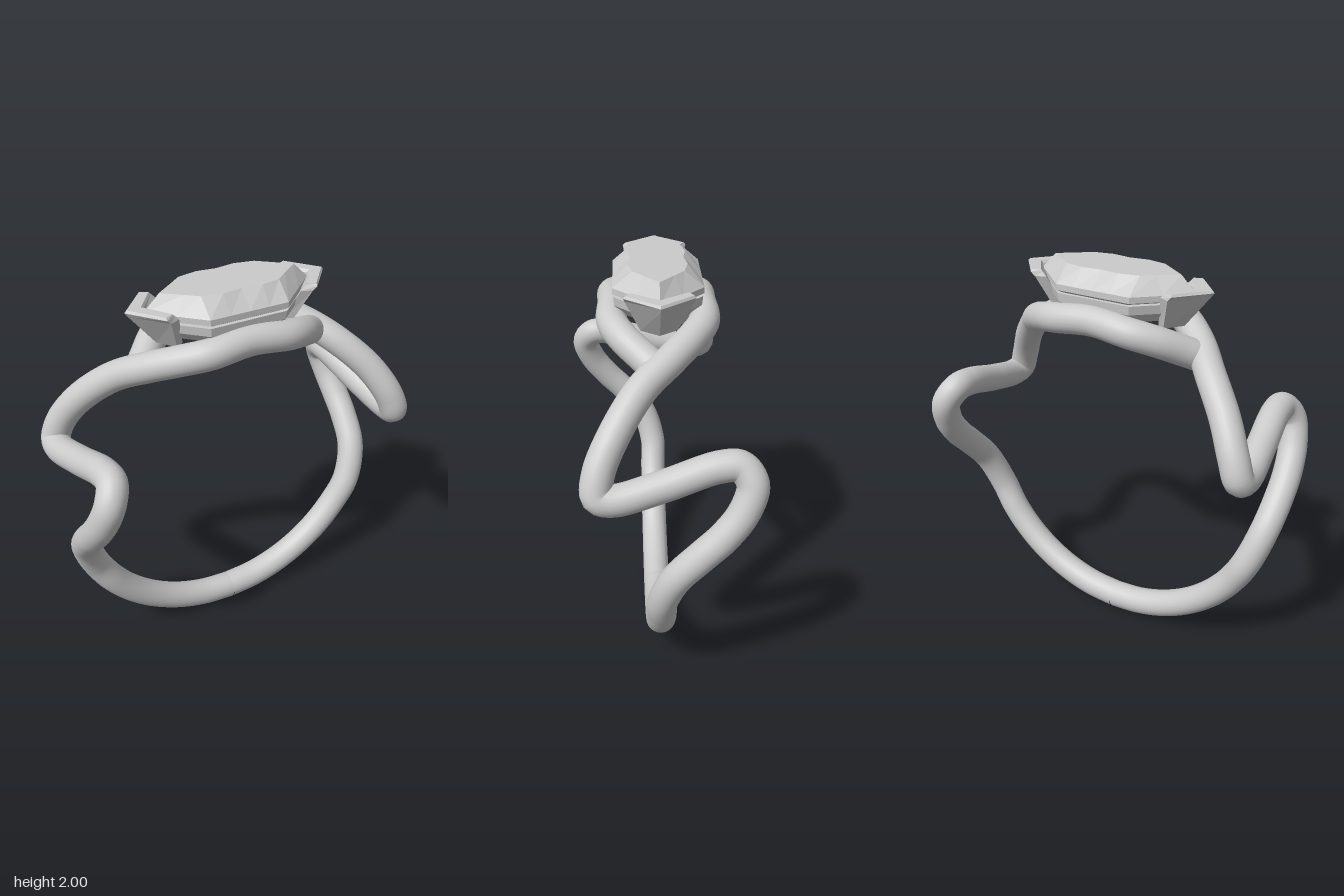
import * as THREE from 'three';

const metal = new THREE.MeshStandardMaterial({ color: 0xcccccc });
const faceted = new THREE.MeshStandardMaterial({ color: 0xcccccc, flatShading: true });
const CENTER = 0.925, RADIUS = 0.852, TUBE = 0.073;

function add(parent, geometry, material, name) {
  const mesh = new THREE.Mesh(geometry, material);
  mesh.name = name;
  parent.add(mesh);
  return mesh;
}

// Full outline (counter-clockwise from above) from a quarter running from +x to -z
function mirrorQuarter(q) {
  const half = [...q, ...q.slice(1, -1).reverse().map(([x, z]) => [-x, z])];
  return [...half, ...half.map(([x, z]) => [-x, -z])];
}
const ringAt = (outline, y, s = 1) => outline.map(([x, z]) => [x * s, y, z * s]);

// Skin through rings, bottom to top; capped, or looped back to the first ring
function loft(rings, looped = false) {
  const n = rings[0].length, pos = [];
  const tri = (a, b, c) => pos.push(...a, ...b, ...c);
  const last = looped ? rings.length : rings.length - 1;
  for (let r = 0; r < last; r++) {
    const lo = rings[r], up = rings[(r + 1) % rings.length];
    for (let i = 0; i < n; i++) {
      const j = (i + 1) % n;
      tri(lo[i], lo[j], up[j]);
      tri(lo[i], up[j], up[i]);
    }
  }
  if (!looped) {
    const cap = (ring, flip) => {
      const flat = ring.map(([x, , z]) => new THREE.Vector2(x, -z));
      for (const [a, b, c] of THREE.ShapeUtils.triangulateShape(flat, []))
        flip ? tri(ring[a], ring[c], ring[b]) : tri(ring[a], ring[b], ring[c]);
    };
    cap(rings[0], true);
    cap(rings[rings.length - 1], false);
  }
  const g = new THREE.BufferGeometry();
  g.setAttribute('position', new THREE.Float32BufferAttribute(pos, 3));
  g.computeVertexNormals();
  return g;
}

// Half of the band: bottom arc, sideways loop, then across the top beside the stone
function createStrand() {
  const group = new THREE.Group();
  const points = [];
  for (let i = 0; i <= 6; i++) {
    const a = THREE.MathUtils.degToRad(i * 11);
    points.push([RADIUS * Math.sin(a), CENTER - RADIUS * Math.cos(a), 0]);
  }
  points.push(
    [0.837, 0.76, -0.06], [0.853, 0.9, -0.175], [0.85, 1.0, -0.27],
    [0.832, 1.12, -0.355], [0.8, 1.24, -0.39], [0.765, 1.31, -0.34],
    [0.765, 1.312, -0.25], [0.8, 1.24, 0], [0.83, 1.19, 0.22],
    [0.825, 1.205, 0.285], [0.79, 1.3, 0.28], [0.7, 1.45, 0.205],
    [0.56, 1.59, 0.085], [0.44, 1.67, -0.045], [0.31, 1.727, -0.155],
    [0.2, 1.757, -0.212], [0, 1.777, -0.212], [-0.2, 1.755, -0.212],
    [-0.31, 1.722, -0.16], [-0.41, 1.665, -0.065], [-0.45, 1.64, -0.025]);
  const curve = new THREE.CatmullRomCurve3(points.map(p => new THREE.Vector3(...p)));
  add(group, new THREE.TubeGeometry(curve, 260, TUBE, 24), metal, 'strandTube');
  const end = add(group, new THREE.CircleGeometry(TUBE, 24), metal, 'strandEnd');
  end.position.copy(curve.getPoint(1));
  end.lookAt(end.position.clone().add(curve.getTangent(1)));
  return group;
}

// V-shaped claw that wraps the pointed end of the stone
function createProng() {
  const section = (y, outerTip, outerEnd, innerEnd, innerTip) => [
    [outerTip, y, 0], [outerEnd[0], y, -outerEnd[1]], [innerEnd[0], y, -innerEnd[1]],
    [innerTip, y, 0], [innerEnd[0], y, innerEnd[1]], [outerEnd[0], y, outerEnd[1]]];
  return loft([
    section(1.76, 0.375, [0.31, 0.085], [0.27, 0.06], 0.32),
    section(1.92, 0.505, [0.365, 0.155], [0.315, 0.13], 0.425),
    section(1.94, 0.52, [0.385, 0.16], [0.335, 0.13], 0.43),
    section(1.952, 0.51, [0.385, 0.15], [0.345, 0.13], 0.44)]);
}

export function createModel() {
  const ring = new THREE.Group();
  ring.name = 'ring';

  // Twisted band: two halves related by a half turn
  ['leftStrand', 'rightStrand'].forEach((name, i) => {
    const strand = createStrand();
    strand.name = name;
    strand.rotation.y = i * Math.PI;
    ring.add(strand);
  });

  // Long hexagonal stone with a scalloped table
  const girdle = mirrorQuarter([[0.43, 0], [0.315, -0.105], [0.2, -0.21], [0.1, -0.21], [0, -0.21]]);
  const table = mirrorQuarter([[0.35, 0], [0.26, -0.07], [0.2, -0.118], [0.1, -0.138], [0, -0.125]]);
  add(ring, loft([
    ringAt(girdle, 1.81, 0.35), ringAt(girdle, 1.893),
    ringAt(girdle, 1.922), ringAt(table, 2)]), faceted, 'stone');

  // Open hexagonal frame under the stone
  add(ring, loft([
    ringAt(girdle, 1.785, 0.8), ringAt(girdle, 1.835, 0.96), ringAt(girdle, 1.878, 0.98),
    ringAt(girdle, 1.878, 0.78), ringAt(girdle, 1.785, 0.6)], true), faceted, 'basket');

  // Claws at both ends
  ['leftProng', 'rightProng'].forEach((name, i) => {
    add(ring, createProng(), faceted, name).rotation.y = i * Math.PI;
  });
  return ring;
}
